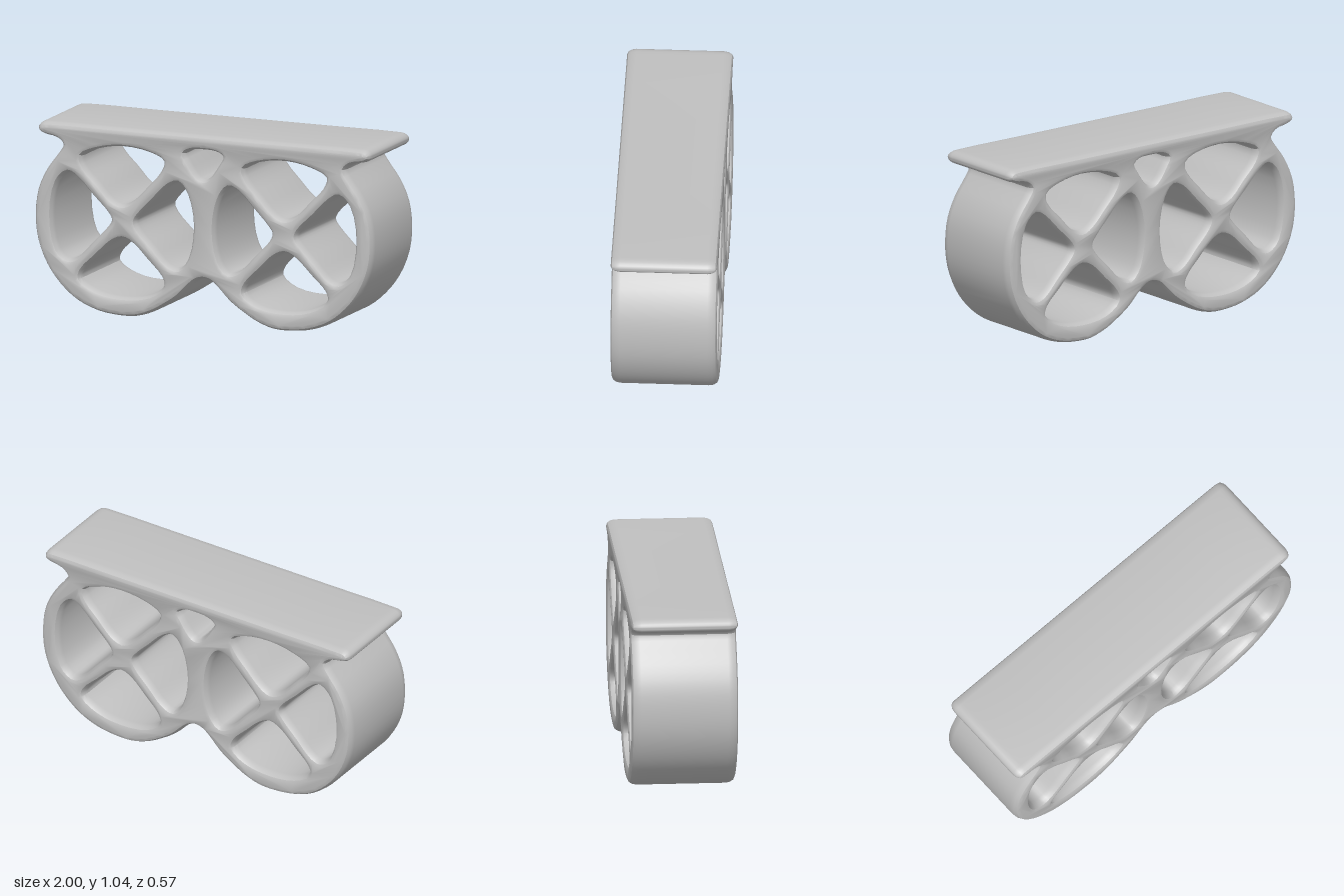
import * as THREE from 'three';
import { toCreasedNormals } from 'three/addons/utils/BufferGeometryUtils.js';

const BEVEL = 0.03, BEVEL_DEPTH = 0.05, HALF_DEPTH = 0.287;

// Smooth closed loop through a few points, turned to the wanted direction
function loop(points, clockwise, steps = 3) {
  const curve = new THREE.CatmullRomCurve3(points.map(([x, y]) => new THREE.Vector3(x, y, 0)), true, 'centripetal');
  const pts = curve.getPoints(points.length * steps).slice(0, -1).map((p) => new THREE.Vector2(p.x, p.y));
  return THREE.ShapeUtils.isClockWise(pts) === clockwise ? pts : pts.reverse();
}
const mirror = (points) => points.map(([x, y]) => [-x, y]).reverse();

export function createModel() {
  const grey = new THREE.MeshStandardMaterial({ color: 0xc0c0c0 });
  grey.name = 'plain grey';

  // Half outline: top plate end, neck, round wheel, notch between the wheels
  const half = [
    [0.5, 1.045], [0.9, 1.045], [0.955, 1.04], [0.98, 1.018], [0.978, 0.992], [0.945, 0.973],
    [0.87, 0.957], [0.835, 0.925], [0.86, 0.88], [0.93, 0.785], [0.982, 0.67], [1, 0.53],
    [0.985, 0.39], [0.93, 0.255], [0.85, 0.15], [0.75, 0.07], [0.63, 0.022], [0.52, 0.006],
    [0.41, 0.008], [0.31, 0.04], [0.23, 0.085], [0.15, 0.14], [0.075, 0.215], [0.04, 0.242],
  ];
  const outline = [[0, 1.045], ...half, [0, 0.252], ...mirror(half)];

  // Four openings between the crossed spokes of one wheel
  const openings = [
    [[0.72, 0.87], [0.63, 0.915], [0.48, 0.94], [0.32, 0.92], [0.24, 0.88], [0.26, 0.82],
      [0.34, 0.73], [0.425, 0.645], [0.48, 0.62], [0.54, 0.645], [0.62, 0.727], [0.7, 0.81]],
    [[0.8, 0.775], [0.75, 0.75], [0.655, 0.655], [0.565, 0.565], [0.55, 0.53], [0.575, 0.49],
      [0.66, 0.402], [0.75, 0.31], [0.8, 0.295], [0.86, 0.345], [0.895, 0.54], [0.86, 0.72]],
    [[0.48, 0.435], [0.54, 0.41], [0.63, 0.325], [0.715, 0.24], [0.725, 0.195], [0.63, 0.135],
      [0.48, 0.112], [0.32, 0.135], [0.24, 0.195], [0.255, 0.245], [0.335, 0.328], [0.42, 0.41]],
    [[0.4, 0.535], [0.38, 0.57], [0.293, 0.662], [0.205, 0.75], [0.15, 0.77], [0.1, 0.71],
      [0.065, 0.54], [0.095, 0.36], [0.15, 0.295], [0.21, 0.315], [0.295, 0.402], [0.38, 0.49]],
  ];
  // Small triangular gap under the plate
  const gap = [[-0.11, 0.935], [-0.07, 0.958], [0, 0.963], [0.07, 0.958], [0.11, 0.935], [0.09, 0.895],
    [0.03, 0.812], [0, 0.8], [-0.03, 0.812], [-0.09, 0.895]];

  const shape = new THREE.Shape(loop(outline, false));
  for (const hole of [...openings, ...openings.map(mirror), gap]) {
    shape.holes.push(new THREE.Path(loop(hole, true)));
  }

  // Extrude front to back with rounded rims
  const depth = 2 * (HALF_DEPTH - BEVEL_DEPTH);
  const geometry = new THREE.ExtrudeGeometry(shape, {
    depth, steps: 1, bevelEnabled: true, bevelSize: BEVEL, bevelOffset: -BEVEL,
    bevelThickness: BEVEL_DEPTH, bevelSegments: 3,
  });
  geometry.translate(0, 0, -depth / 2);

  const frame = new THREE.Mesh(toCreasedNormals(geometry, 0.6), grey);
  frame.name = 'doubleWheelFrame';

  const model = new THREE.Group();
  model.name = 'doubleWheelStand';
  model.add(frame);
  return model;
}
